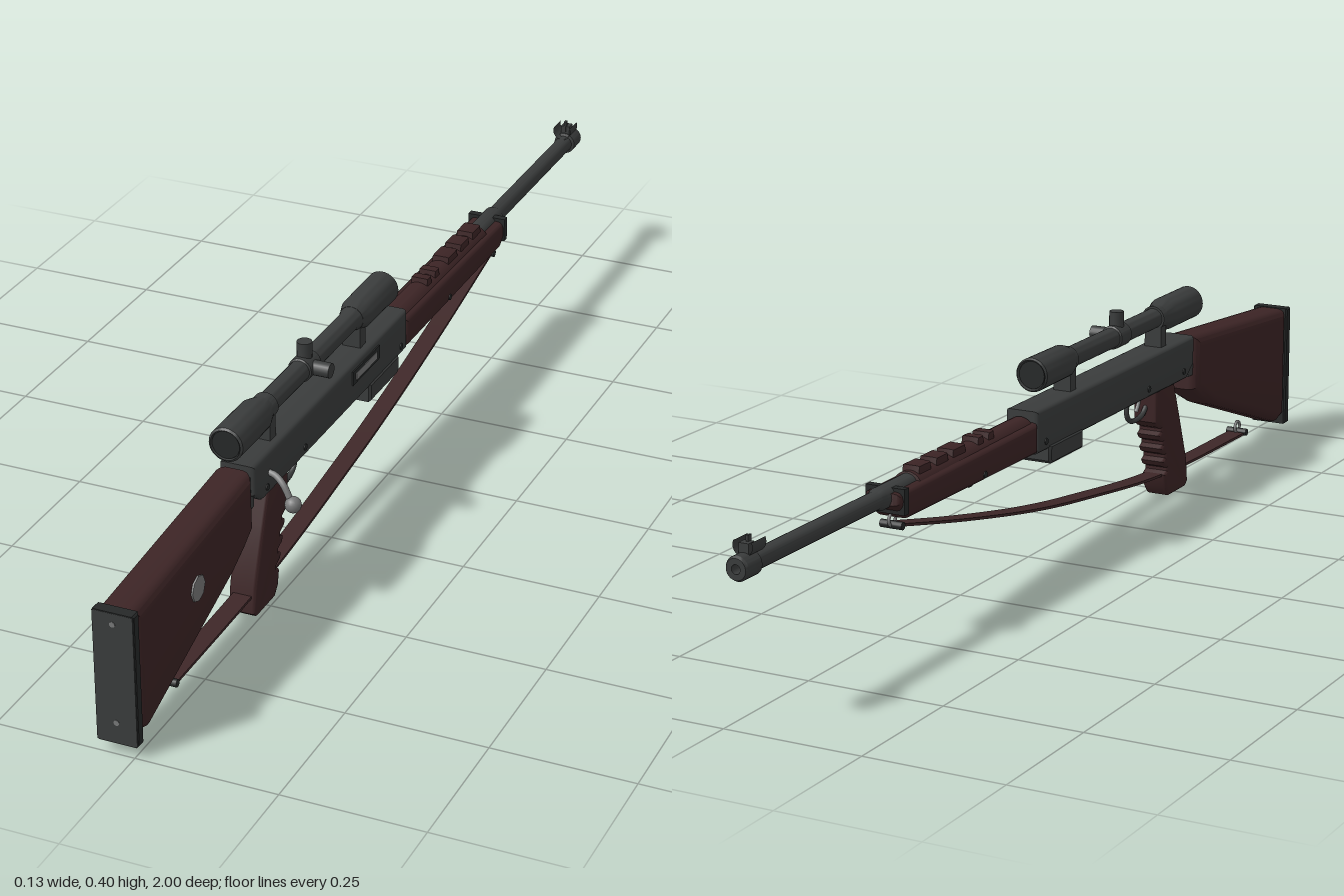
import * as THREE from 'three';
import { toCreasedNormals } from 'three/addons/utils/BufferGeometryUtils.js';

const mat = (name, color, side = THREE.FrontSide) => {
  const m = new THREE.MeshStandardMaterial({ color, side });
  m.name = name;
  return m;
};

export function createModel() {
  const root = new THREE.Group();
  root.name = 'rifle';
  const body = new THREE.Group();
  body.name = 'rifleBody';
  body.position.x = -0.03;
  root.add(body);

  const metal = mat('dark steel', 0x3a3c3c, THREE.DoubleSide);
  const black = mat('black steel', 0x262828);
  const wood = mat('dark wood', 0x3c2425);
  const leather = mat('leather', 0x3e2728);
  const silver = mat('bright steel', 0x777878);

  const add = (name, geo, material, x = 0, y = 0, z = 0) => {
    const m = new THREE.Mesh(geo, material);
    m.name = name;
    m.position.set(x, y, z);
    body.add(m);
    return m;
  };
  // Side outline given as [z, y], thickened across x, with rounded edges
  const slab = (pts, width, bevel, segments = 3) => {
    const shape = new THREE.Shape(pts.map(p => new THREE.Vector2(p[0], p[1])));
    const depth = width - 2 * bevel;
    const g = new THREE.ExtrudeGeometry(shape, {
      depth, bevelEnabled: bevel > 0, bevelThickness: bevel, bevelSize: bevel,
      bevelOffset: -bevel, bevelSegments: segments,
    });
    g.translate(0, 0, -depth / 2).rotateY(-Math.PI / 2);
    return toCreasedNormals(g, 0.6);
  };
  const box = (name, w, h, d, material, x, y, z) =>
    add(name, new THREE.BoxGeometry(w, h, d), material, x, y, z);
  // Turned part along z, given as [radius, z] with z descending
  const turned = (name, pts, material, y, n = 24) => {
    const g = new THREE.LatheGeometry(pts.map(p => new THREE.Vector2(p[0], -p[1])), n);
    g.rotateX(-Math.PI / 2);
    return add(name, toCreasedNormals(g, 0.5), material, 0, y, 0);
  };
  const tube = (name, pts, r, material) => add(name, new THREE.TubeGeometry(
    new THREE.CatmullRomCurve3(pts.map(p => new THREE.Vector3(...p))), 28, r, 8), material);
  // Disc or pin whose axis runs across x
  const crossPin = (name, r, len, material, x, y, z, n = 14) =>
    add(name, new THREE.CylinderGeometry(r, r, len, n).rotateZ(Math.PI / 2), material, x, y, z);

  // Butt stock, butt plate and its screws
  add('stock', slab([[0.985, 0.262], [0.565, 0.296], [0.562, 0.19], [0.6, 0.165], [0.645, 0.142],
    [0.955, 0.032], [0.985, 0.042]], 0.072, 0.02, 4), wood);
  add('buttPlate', slab([[1, 0.264], [0.98, 0.264], [0.98, 0.023], [1, 0.023]], 0.074, 0.003, 1), black);
  box('buttPad', 0.071, 0.238, 0.004, metal, 0, 0.1435, 0.9985);
  for (const y of [0.243, 0.062])
    add('buttScrew', new THREE.CylinderGeometry(0.005, 0.005, 0.003, 10).rotateX(Math.PI / 2), silver, 0, y, 1);
  crossPin('stockMedallion', 0.023, 0.004, silver, 0.037, 0.195, 0.78, 8);

  // Receiver with ejection port and magazine
  add('receiver', slab([[0.557, 0.3], [-0.08, 0.3], [-0.08, 0.222], [0.525, 0.222], [0.557, 0.245]],
    0.066, 0.009), metal);
  box('stockTang', 0.05, 0.06, 0.03, metal, 0, 0.25, 0.56);
  box('ejectionPort', 0.006, 0.026, 0.115, black, 0.0325, 0.277, 0.108);
  box('boltBody', 0.004, 0.014, 0.09, silver, 0.0345, 0.276, 0.108);
  add('magazine', slab([[0.09, 0.23], [-0.037, 0.23], [-0.037, 0.2], [-0.03, 0.194], [0.09, 0.194]],
    0.07, 0.004, 1), metal);
  for (const z of [0.51, 0.36, -0.05])
    crossPin('receiverPin', 0.006, 0.069, black, 0, 0.24, z);

  // Bolt handle on the right-hand side of the view
  tube('boltHandle', [[0.028, 0.264, 0.5], [0.045, 0.26, 0.502], [0.062, 0.248, 0.508], [0.078, 0.222, 0.513]],
    0.0058, silver);
  add('boltKnob', new THREE.SphereGeometry(0.0145, 16, 12), silver, 0.081, 0.219, 0.513);

  // Pistol grip with finger grooves along its front edge
  const grip = [[0.41, 0.228], [0.412, 0.16]];
  for (let i = 0; i < 4; i++) {
    const y = 0.15 - i * 0.028, z = 0.42 + i * 0.009;
    grip.push([z, y], [z + 0.014, y - 0.006], [z + 0.014, y - 0.012], [z + 0.003, y - 0.018]);
  }
  grip.push([0.456, 0.02], [0.47, 0.003], [0.54, 0.003], [0.551, 0.012], [0.545, 0.06], [0.51, 0.16], [0.485, 0.228]);
  add('grip', slab(grip, 0.05, 0.006), wood);

  // Trigger and guard
  tube('triggerGuard', [[0, 0.225, 0.335], [0, 0.19, 0.334], [0, 0.176, 0.35], [0, 0.176, 0.395], [0, 0.19, 0.415]],
    0.005, metal);
  tube('trigger', [[0, 0.224, 0.385], [0, 0.205, 0.383], [0, 0.188, 0.372]], 0.004, silver);

  // Fore-end, rounded hand guard and its raised ribs
  add('foreEnd', slab([[-0.078, 0.28], [-0.563, 0.276], [-0.566, 0.256], [-0.53, 0.226], [-0.078, 0.224]],
    0.069, 0.012), wood);
  turned('handGuard', [[0, -0.085], [0.029, -0.085], [0.029, -0.478], [0, -0.485]], wood, 0.261);
  for (const [z, len] of [[-0.22, 0.026], [-0.257, 0.026], [-0.332, 0.05], [-0.39, 0.046], [-0.448, 0.046]])
    add('guardRib', slab([[len / 2, 0], [len / 2 - 0.004, 0.02], [-len / 2 + 0.004, 0.02], [-len / 2, 0]],
      0.034, 0.004, 2), wood, 0, 0.278, z);
  box('barrelBand', 0.074, 0.045, 0.014, black, 0, 0.26, -0.545);
  crossPin('foreEndPin', 0.006, 0.072, black, 0, 0.237, -0.275);
  box('foreEndStud', 0.012, 0.022, 0.012, black, 0, 0.222, -0.275);

  // Barrel, muzzle collar and hollow bore
  turned('barrel', [[0.02, -0.47], [0.02, -0.575], [0.016, -0.585], [0.016, -0.955], [0.021, -0.957],
    [0.021, -0.995], [0.018, -1], [0.008, -1], [0.008, -0.97], [0, -0.97]], metal, 0.267);

  // Front sight: foot, blade and open hood
  box('sightFoot', 0.018, 0.03, 0.018, metal, 0, 0.288, -0.968);
  box('sightBlade', 0.004, 0.022, 0.01, metal, 0, 0.302, -0.962);
  add('sightHood', new THREE.CylinderGeometry(0.018, 0.018, 0.04, 16, 1, true, -2, 4)
    .rotateX(-Math.PI / 2).rotateZ(Math.PI), metal, 0, 0.299, -0.96);

  // Telescopic sight
  turned('scope', [[0, 0.592], [0.026, 0.592], [0.027, 0.597], [0.031, 0.594], [0.031, 0.485], [0.019, 0.445],
    [0.019, 0.105], [0.03, 0.07], [0.031, -0.042], [0.028, -0.046], [0.026, -0.04], [0, -0.04]], metal, 0.355, 32);
  for (const z of [0.593, -0.041])
    add('lens', new THREE.CylinderGeometry(0.025, 0.025, 0.003, 28).rotateX(Math.PI / 2), black, 0, 0.355, z);
  for (const z of [0.452, 0.083]) {
    box('scopeMount', 0.034, 0.05, 0.022, metal, 0, 0.319, z);
    turned('scopeRing', [[0.019, z + 0.011], [0.023, z + 0.011], [0.023, z - 0.011], [0.019, z - 0.011]], metal, 0.355);
  }
  turned('turretCollar', [[0.019, 0.31], [0.022, 0.308], [0.022, 0.268], [0.019, 0.266]], metal, 0.355);
  add('topTurret', new THREE.CylinderGeometry(0.0135, 0.0135, 0.035, 16), metal, 0, 0.384, 0.288);
  crossPin('sideTurret', 0.0135, 0.035, metal, 0.032, 0.355, 0.288, 16);

  // Leather sling: a thin strap following a sagging curve
  const sag = new THREE.SplineCurve([[0.83, 0.037], [0.46, 0.046], [0.14, 0.083], [-0.07, 0.115],
    [-0.31, 0.163], [-0.53, 0.213]].map(p => new THREE.Vector2(...p))).getPoints(30);
  const strap = [...sag.map(p => [p.x, p.y + 0.0025]), ...sag.reverse().map(p => [p.x, p.y - 0.0025])];
  add('sling', slab(strap, 0.034, 0), leather);

  // Sling swivels at both ends
  for (const [y, z] of [[0.04, 0.83], [0.212, -0.53]]) {
    crossPin('swivelBar', 0.007, 0.042, black, 0, y, z);
    add('swivelLoop', new THREE.TorusGeometry(0.011, 0.003, 8, 16).rotateY(Math.PI / 2), silver, 0, y + 0.009, z);
  }
  return root;
}
